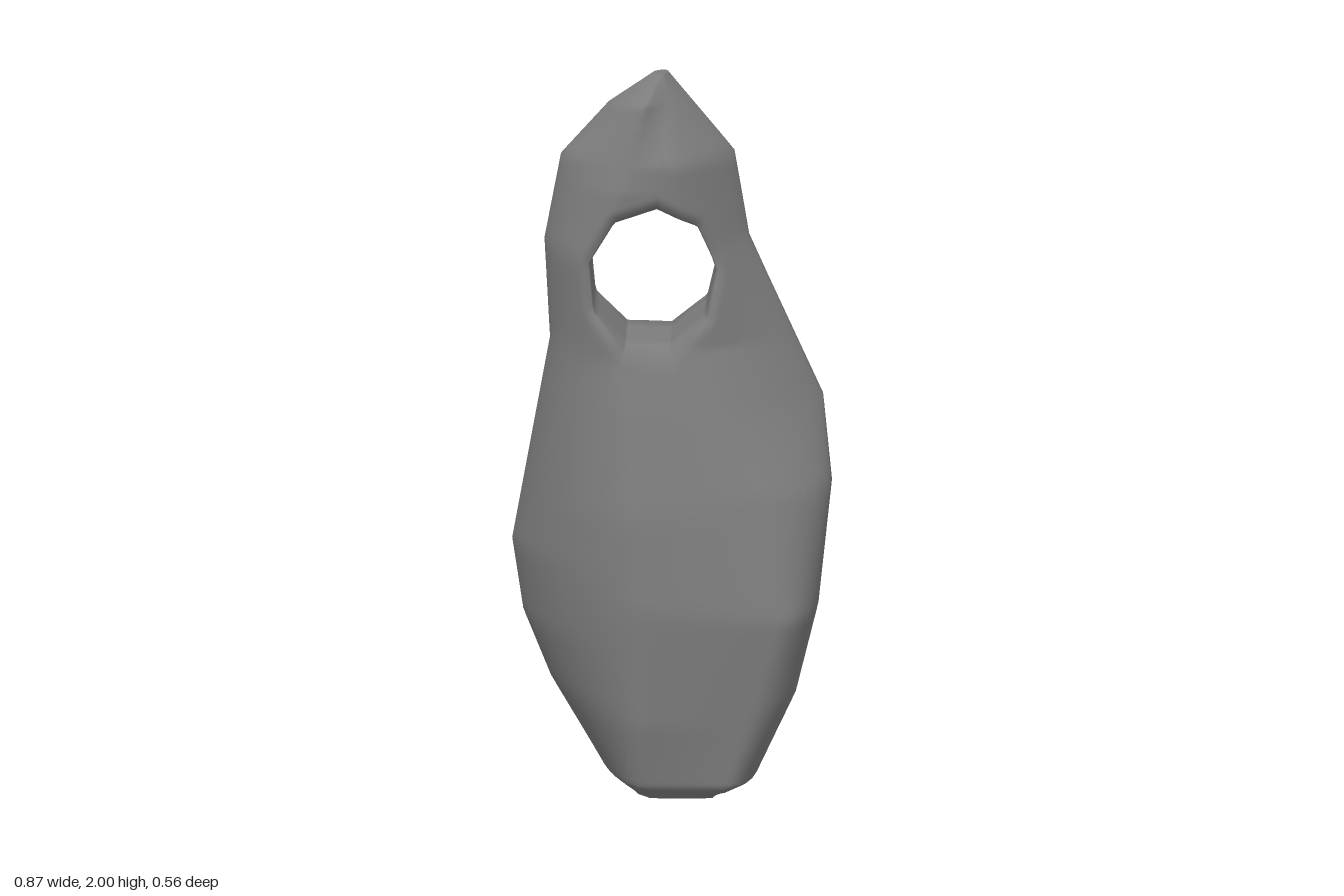
import * as THREE from 'three';

const { clamp, lerp, smoothstep, euclideanModulo } = THREE.MathUtils;

// Lines running up the stone, as [y, x, z]: its two side edges, two front ridges and the back ridge
const LEFT = [[0, -.12, 0], [.04, -.19, -.06], [.27, -.33, -.08], [.45, -.405, -.1], [.65, -.435, -.1],
  [1.25, -.33, 0], [1.53, -.345, 0], [1.77, -.3, 0], [1.92, -.17, .01], [2, -.05, 0]];
const RIGHT = [[0, .15, 0], [.04, .235, 0], [.27, .34, .03], [.52, .4, .05], [.85, .435, .02],
  [1.07, .41, -.06], [1.53, .21, -.03], [1.77, .17, -.03], [2, -.01, -.01]];
const FRONT_LEFT = [[0, -.06, .19], [.04, -.08, .23], [.22, -.075, .265], [.55, -.07, .282], [.8, -.09, .26],
  [1.08, -.11, .2], [1.22, -.14, .165], [1.5, -.2, .155], [1.7, -.13, .155], [1.93, -.07, .11], [2, -.03, .02]];
const FRONT_RIGHT = [[0, .1, .19], [.04, .15, .225], [.52, .29, .26], [.85, .2, .215],
  [1.25, .06, .125], [1.77, 0, .145], [2, -.02, .02]];
const BACK = [[0, .08, -.16], [.05, .1, -.25], [.3, .13, -.282], [.65, .14, -.267],
  [1.1, .15, -.185], [1.43, .1, -.118], [1.66, .07, -.125], [2, -.02, -.025]];

// The front and back faces: their ridges and how roundly they turn in from the two sides at height y
const FACES = {
  front: { ridges: [FRONT_LEFT, FRONT_RIGHT], left: () => 1.5, right: (y) => lerp(2.2, 1.3, smoothstep(y, 0.5, 1.1)) },
  back: { ridges: [BACK], left: () => 1.8, right: () => 2.7 },
};

// Eyelet: a nine-sided oval
const EYELET = { x: -.05, y: 1.45, rx: .175, ry: .2, sides: 9, turn: 0.1 };

// Point of a line at height y
function pointAt(line, y) {
  let i = 0;
  while (i < line.length - 2 && line[i + 1][0] < y) i++;
  const [ya, xa, za] = line[i], [yb, xb, zb] = line[i + 1];
  const k = clamp((y - ya) / (yb - ya), 0, 1);
  return { x: lerp(xa, xb, k), z: lerp(za, zb, k) };
}

// Depth between two points: straight for power 1, a fuller curve above
function blend(a, b, x, power) {
  const s = clamp((x - a.x) / (b.x - a.x), 0, 1);
  return lerp(a.z, b.z, (1 - (1 - s) ** power) ** (1 / power));
}

// Depth of a face at x, y
function depth({ ridges, left, right }, x, y) {
  const points = ridges.map((line) => pointAt(line, y));
  const first = points[0], last = points[points.length - 1];
  if (x <= first.x) return blend(pointAt(LEFT, y), first, x, left(y));
  if (x >= last.x) return blend(pointAt(RIGHT, y), last, x, right(y));
  return blend(first, last, x, 1);
}

// Point of the eyelet rim in the direction of p
function rimToward(p) {
  const { x, y, rx, ry, sides, turn } = EYELET;
  const angle = Math.atan2((p.y - y) / ry, (p.x - x) / rx);
  const step = 2 * Math.PI / sides;
  const r = Math.cos(step / 2) / Math.cos(euclideanModulo(angle - turn, step) - step / 2);
  return new THREE.Vector2(x + rx * r * Math.cos(angle), y + ry * r * Math.sin(angle));
}

// Silhouette: up the right edge, down the left one
function silhouette(steps) {
  const corners = [...RIGHT, ...LEFT.slice().reverse()].map(([y, x]) => new THREE.Vector2(x, y));
  return corners.flatMap((corner, i) => {
    const next = corners[(i + 1) % corners.length];
    return Array.from({ length: steps }, (_, s) => corner.clone().lerp(next, s / steps));
  });
}

// One closed section: eyelet, front, outer edge, back and through the eyelet
function section(edge, radial) {
  const rim = rimToward(edge), length = rim.distanceTo(edge);
  const at = (face, t) => {
    const p = rim.clone().lerp(edge, t);
    const mid = (depth(FACES.front, p.x, p.y) + depth(FACES.back, p.x, p.y)) / 2;
    const round = 0.85 + 0.15 * Math.sin(Math.min(1, t * length / 0.035) * Math.PI / 2);
    return new THREE.Vector3(p.x, p.y, mid + (depth(face, p.x, p.y) - mid) * round);
  };
  const bridge = (a, b) => [1, 2, 3].map((j) => a.clone().lerp(b, j / 4));
  const front = [], back = [];
  for (let j = 0; j <= radial; j++) {
    const k = j / radial, t = lerp(Math.sin(k * Math.PI / 2), k, 0.1);
    front.push(at(FACES.front, t));
    back.unshift(at(FACES.back, t));
  }
  return [...front, ...bridge(front[radial], back[0]), ...back, ...bridge(back[radial], front[0])];
}

// Joins the sections around the eyelet into one smooth skin
function stoneGeometry() {
  const loops = silhouette(8).map((p) => section(p, 48));
  const n = loops.length, m = loops[0].length, index = [];
  for (let i = 0; i < n; i++) {
    for (let j = 0; j < m; j++) {
      const i2 = (i + 1) % n, j2 = (j + 1) % m;
      const a = i * m + j, b = i * m + j2, c = i2 * m + j2, d = i2 * m + j;
      index.push(a, b, c, a, c, d);
    }
  }
  const geometry = new THREE.BufferGeometry().setFromPoints(loops.flat());
  geometry.setIndex(index);
  geometry.computeVertexNormals();
  return geometry;
}

export function createModel() {
  const group = new THREE.Group();
  group.name = 'piercedStone';
  const stone = new THREE.Mesh(stoneGeometry(), new THREE.MeshStandardMaterial({ color: 0x7c7c7c }));
  stone.name = 'stoneWithEyelet';
  group.add(stone);
  return group;
}
